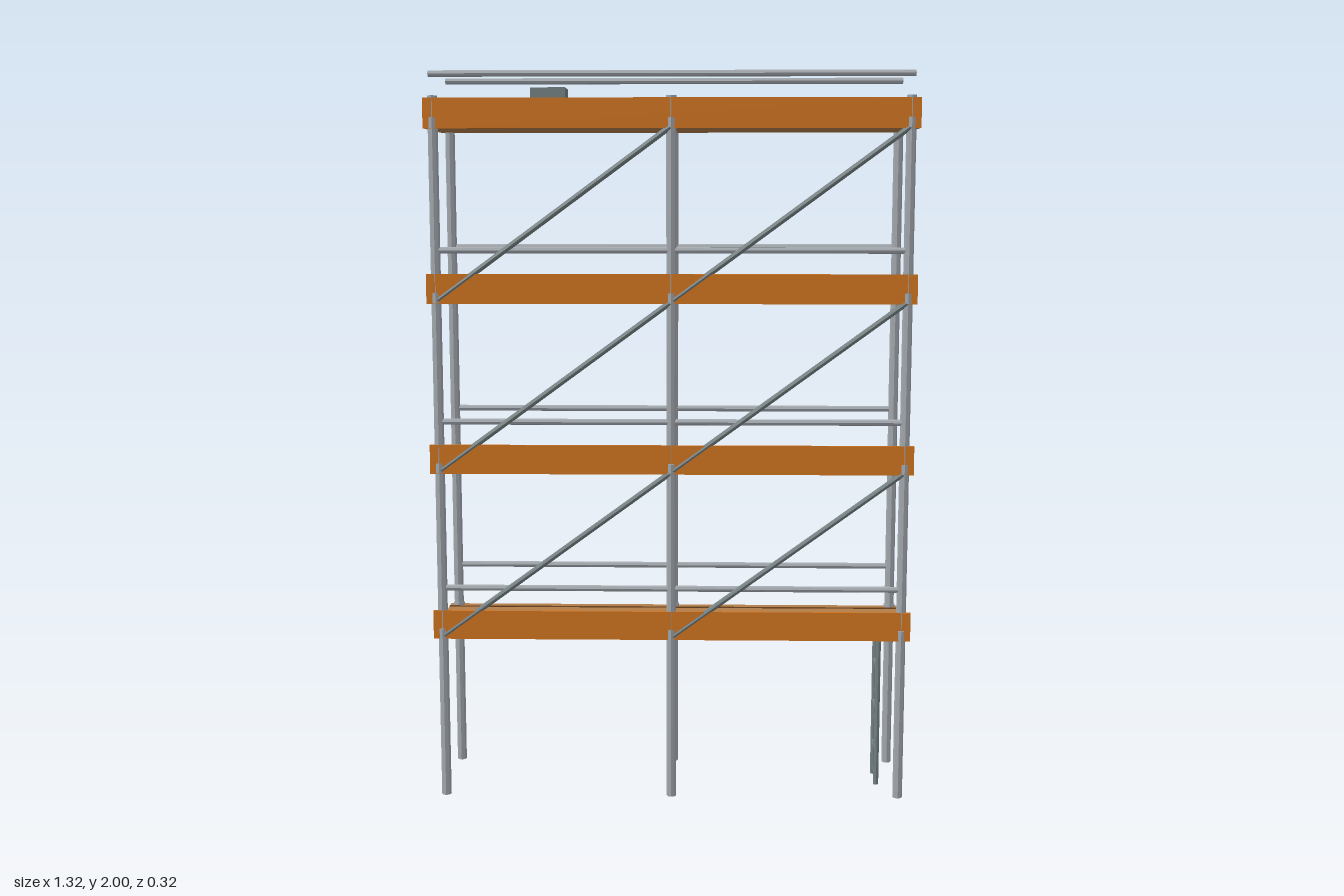
import * as THREE from 'three';

const paint = (name, color) => {
  const m = new THREE.MeshStandardMaterial({ color });
  m.name = name;
  m.flatShading = true;
  return m;
};

export function createModel() {
  const steel = paint('galvanised steel', 0xa3a9af);
  const darkSteel = paint('dark steel', 0x748082);
  const wood = paint('plank wood', 0xb37d49);
  const gapBrown = paint('plank gap brown', 0x6b431f);
  const orange = paint('toe board orange', 0xcf741f);

  const model = new THREE.Group();
  model.name = 'scaffold';

  const box = (parent, name, mat, size, pos) => {
    const mesh = new THREE.Mesh(new THREE.BoxGeometry(...size), mat);
    mesh.name = name;
    mesh.position.set(...pos);
    parent.add(mesh);
    return mesh;
  };

  // Round pipe between two points
  const pipe = (parent, name, mat, a, b, r) => {
    const from = new THREE.Vector3(...a), to = new THREE.Vector3(...b);
    const mesh = new THREE.Mesh(new THREE.CylinderGeometry(r, r, from.distanceTo(to), 8), mat);
    mesh.name = name;
    mesh.position.copy(from).add(to).multiplyScalar(0.5);
    mesh.quaternion.setFromUnitVectors(new THREE.Vector3(0, 1, 0), to.sub(from).normalize());
    parent.add(mesh);
    return mesh;
  };

  const postX = [-0.635, 0, 0.635];
  const postZ = 0.145;
  const lift = 0.465;
  const levels = [1, 2, 3, 4].map((n) => 0.01 + n * lift); // deck tops

  // Upright posts with a coupler at every deck
  for (const x of postX) {
    for (const z of [-postZ, postZ]) {
      pipe(model, 'post', steel, [x, 0, z], [x, 1.935, z], 0.0135);
      for (const y of levels) {
        pipe(model, 'coupler', steel, [x, y - 0.02, z], [x, y + 0.008, z], 0.0165);
      }
    }
  }

  levels.forEach((y, i) => {
    const floor = new THREE.Group();
    floor.name = 'level' + (i + 1);
    model.add(floor);

    // Deck with dark plank gaps
    box(floor, 'deck', wood, [1.32, 0.021, 0.312], [0, y - 0.0105, 0]);
    for (const z of [-0.12, -0.043, 0.034]) {
      box(floor, 'plankGap', gapBrown, [1.32, 0.003, 0.008], [0, y + 0.0005, z]);
    }

    // Toe board along the front
    box(floor, 'toeBoard', orange, [1.32, 0.08, 0.008], [0, y + 0.019, 0.154]);

    // Guard rails front and back
    for (const z of [-postZ - 0.003, postZ]) {
      pipe(floor, 'guardRail', steel, [-0.645, y + 0.122, z], [0.645, y + 0.122, z], 0.0085);
    }

    // Diagonal braces up to the next deck
    if (i < levels.length - 1) {
      for (const x of [postX[0], postX[1]]) {
        pipe(floor, 'brace', darkSteel, [x, y - 0.015, 0.152], [x + 0.635, y + lift - 0.015, 0.152], 0.008);
      }
    }
  });

  // Ladder below the first deck
  const ladder = new THREE.Group();
  ladder.name = 'ladder';
  model.add(ladder);
  for (const z of [-0.044, 0.044]) {
    pipe(ladder, 'ladderRail', darkSteel, [0.585, 0, z], [0.585, 0.46, z], 0.0075);
  }
  for (const y of [0.1, 0.222, 0.345]) {
    pipe(ladder, 'rung', darkSteel, [0.585, y, -0.044], [0.585, y, 0.044], 0.006);
  }

  // Loads on the top deck
  const top = levels[3];
  box(model, 'metalCrate', darkSteel, [0.096, 0.096, 0.096], [-0.343, top + 0.048, -0.053]);
  box(model, 'woodenCrate', wood, [0.197, 0.058, 0.095], [0.293, top + 0.029, -0.076]).rotation.y = 0.2;

  return model;
}
